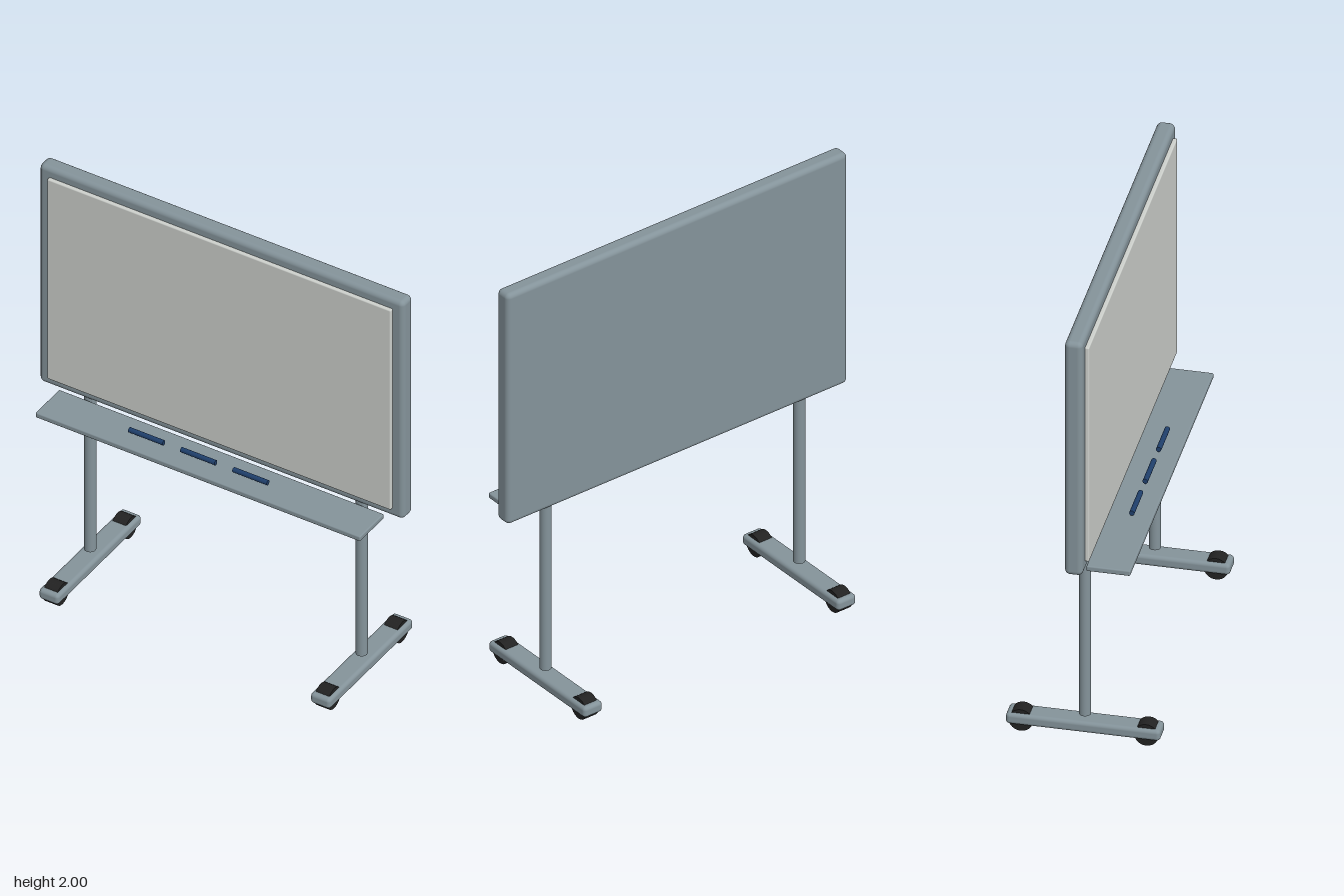
import * as THREE from 'three';
import { RoundedBoxGeometry } from 'three/addons/geometries/RoundedBoxGeometry.js';

const material = (name, color) => {
  const m = new THREE.MeshStandardMaterial({ color });
  m.name = name;
  return m;
};

export function createModel() {
  const metal = material('greyMetal', 0x84939a);
  const white = material('boardWhite', 0xcdd0cc);
  const rubber = material('blackRubber', 0x222222);
  const blue = material('penBlue', 0x1f3f6b);

  const model = new THREE.Group();
  model.name = 'mobileWhiteboard';

  const add = (parent, name, geometry, mat, x, y, z) => {
    const mesh = new THREE.Mesh(geometry, mat);
    mesh.name = name;
    mesh.position.set(x, y, z);
    parent.add(mesh);
    return mesh;
  };

  // Board: rounded frame with a raised writing surface
  add(model, 'frame', new RoundedBoxGeometry(1.74, 1.11, 0.075, 3, 0.022), metal, 0, 1.445, 0);
  add(model, 'writingSurface', new RoundedBoxGeometry(1.64, 1.02, 0.02, 2, 0.006), white, 0, 1.445, 0.045);

  // Pen tray with three pens lying on it
  add(model, 'penTray', new RoundedBoxGeometry(1.55, 0.025, 0.182, 2, 0.006), metal, 0, 0.873, 0.124);
  const penGeometry = new THREE.CylinderGeometry(0.011, 0.011, 0.164, 16).rotateZ(Math.PI / 2);
  [-0.295, -0.047, 0.202].forEach((x, i) => add(model, `pen${i + 1}`, penGeometry, blue, x, 0.908, 0.133));

  // Two stands: post, foot bar and a wheel at each end
  const postGeometry = new THREE.CylinderGeometry(0.025, 0.025, 0.81, 24);
  const footGeometry = new RoundedBoxGeometry(0.095, 0.05, 0.64, 3, 0.016);
  const wheelGeometry = new THREE.CylinderGeometry(0.05, 0.05, 0.064, 24).rotateZ(Math.PI / 2);
  for (const side of [-1, 1]) {
    const stand = new THREE.Group();
    stand.name = side > 0 ? 'leftStand' : 'rightStand';
    stand.position.x = side * 0.648;
    model.add(stand);
    add(stand, 'post', postGeometry, metal, 0, 0.507, 0);
    add(stand, 'foot', footGeometry, metal, 0, 0.06, 0);
    add(stand, 'frontWheel', wheelGeometry, rubber, 0, 0.052, 0.26);
    add(stand, 'backWheel', wheelGeometry, rubber, 0, 0.052, -0.26);
  }
  return model;
}
